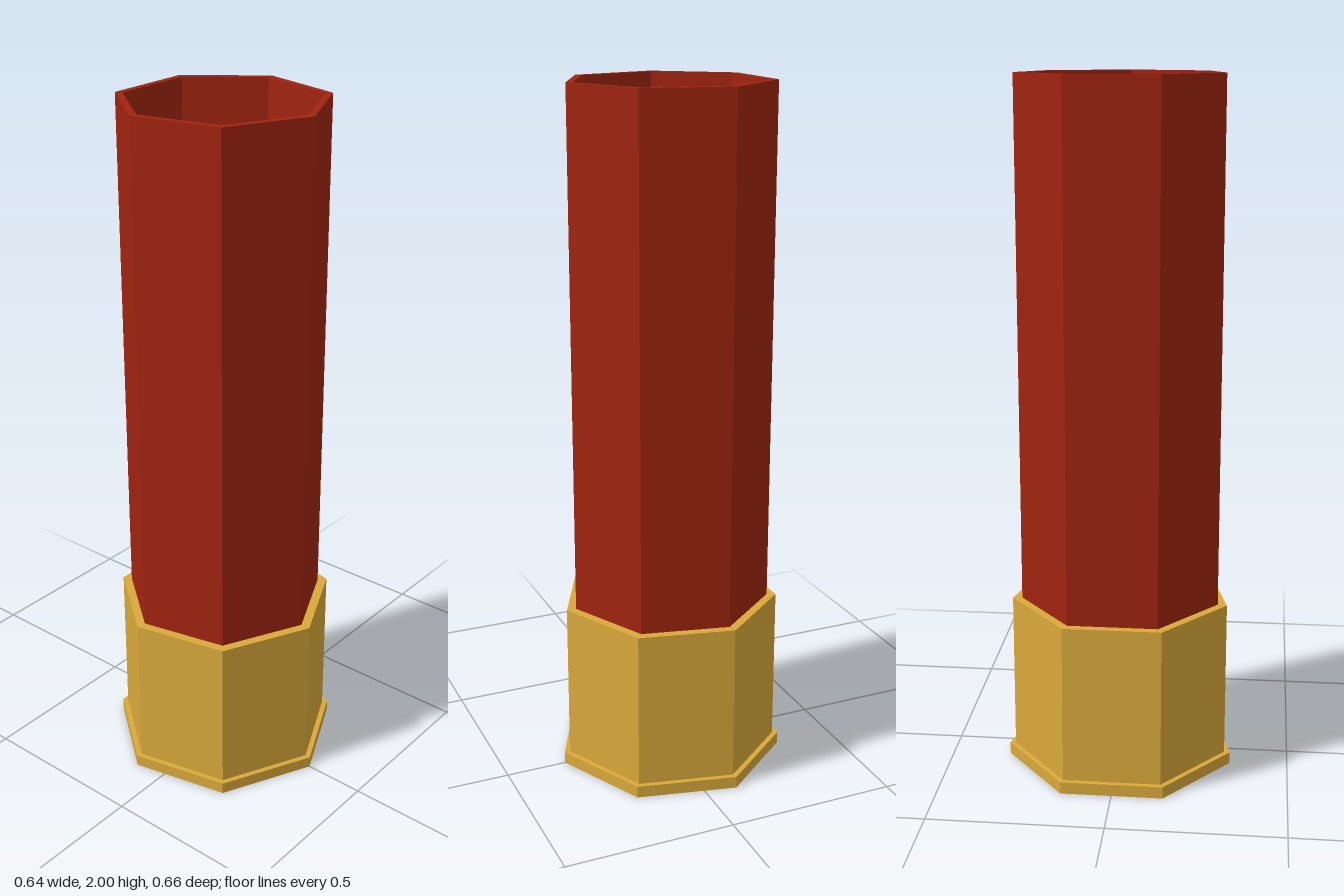
import * as THREE from 'three';

const SIDES = 7;
const START = Math.PI / 2; // puts one corner of the heptagon on +x
const OFFSET = -0.018; // centres the heptagon's bounds on x = 0

export function createModel() {
  const brass = new THREE.MeshStandardMaterial({ color: 0xd9a83a, flatShading: true });
  brass.name = 'brass';
  const red = new THREE.MeshStandardMaterial({ color: 0xa02410, flatShading: true });
  red.name = 'red plastic';

  const group = new THREE.Group();
  group.name = 'shotgunShell';

  const add = (name, geometry, material, x, y) => {
    const mesh = new THREE.Mesh(geometry, material);
    mesh.name = name;
    mesh.position.set(x, y, 0);
    group.add(mesh);
  };

  // Solid seven-sided brass pieces
  const prism = (radius, height) =>
    new THREE.CylinderGeometry(radius, radius, height, SIDES, 1, false, START);

  // Base flange and brass head; the head's top is the floor of the tube
  add('baseRim', prism(0.338, 0.035), brass, OFFSET, 0.0175);
  add('brassHead', prism(0.3215, 0.465), brass, OFFSET, 0.2675);

  // Open hull: outer wall, top lip, inner wall
  const profile = [
    [0.294, 0.5], [0.294, 2], [0.273, 2], [0.273, 0.5],
  ].map(([r, y]) => new THREE.Vector2(r, y));
  add('hullTube', new THREE.LatheGeometry(profile, SIDES, START), red, OFFSET - 0.001, 0);

  return group;
}
